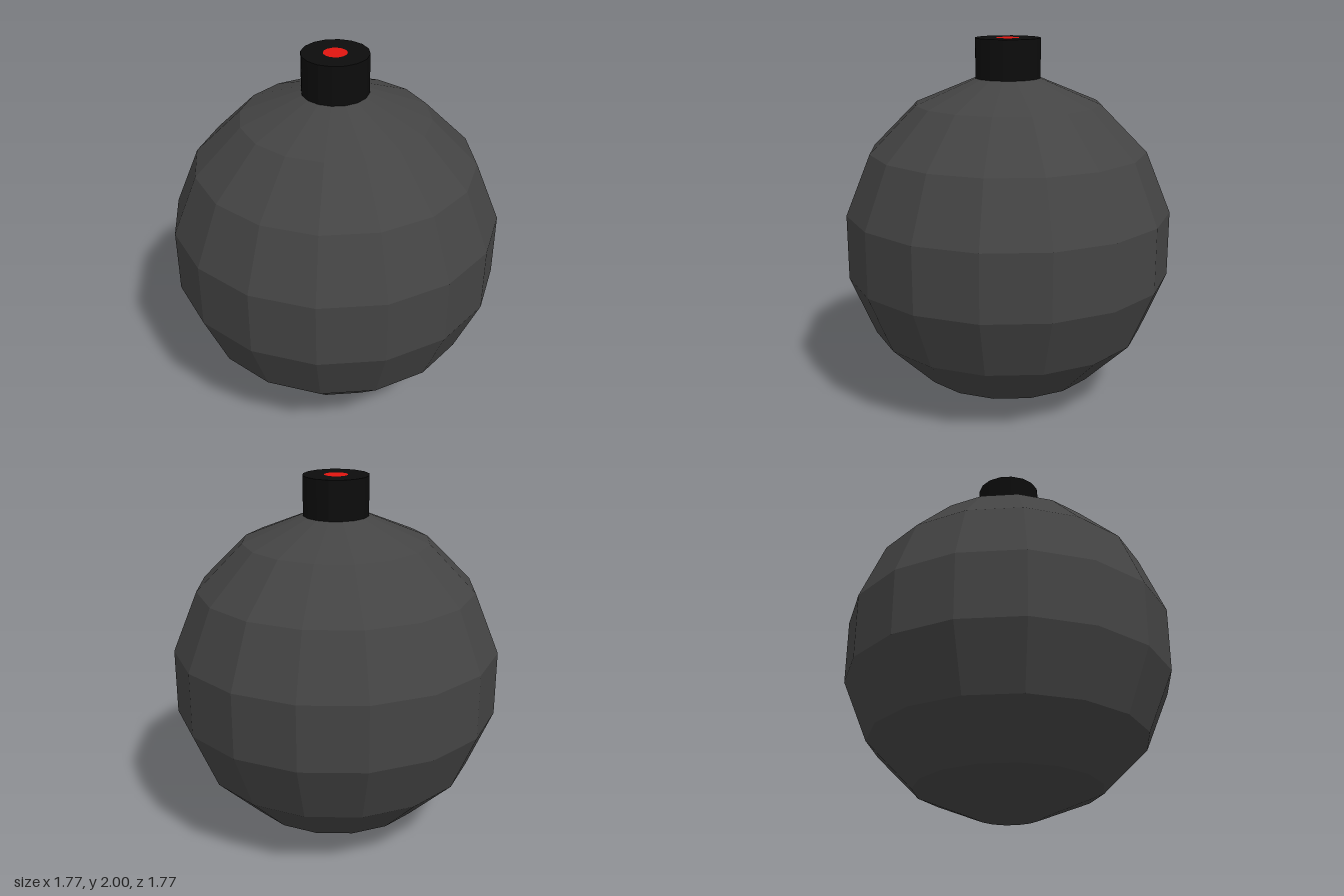
import * as THREE from 'three';

const SIDES = 16;
const RADIUS = 0.9035;

function lathe(name, points, color) {
  const geometry = new THREE.LatheGeometry(points.map(([r, y]) => new THREE.Vector2(r, y)), SIDES);
  const mesh = new THREE.Mesh(geometry, new THREE.MeshStandardMaterial({ color, flatShading: true }));
  mesh.name = name;
  return mesh;
}

export function createModel() {
  const group = new THREE.Group();
  group.name = 'roundBomb';

  // Faceted ball: bottom pole, then eight rings up to the open neck
  const profile = [[0, 0]];
  for (let i = 0; i < 8; i++) {
    const angle = THREE.MathUtils.degToRad(-78.75 + i * 22.5);
    profile.push([RADIUS * Math.cos(angle), RADIUS * (1 + Math.sin(angle))]);
  }
  group.add(lathe('ball', profile, 0x444444));

  // Neck grows out of the top ring and ends in a flat rim
  const [neckRadius, neckBase] = profile[8];
  const fuseRadius = 0.063;
  group.add(lathe('neck', [[neckRadius, neckBase], [neckRadius, 2], [fuseRadius, 2]], 0x0c0c0c));

  // Red fuse disc flush with the rim
  group.add(lathe('fuse', [[fuseRadius, 2], [0, 2]], 0xe01510));

  return group;
}
